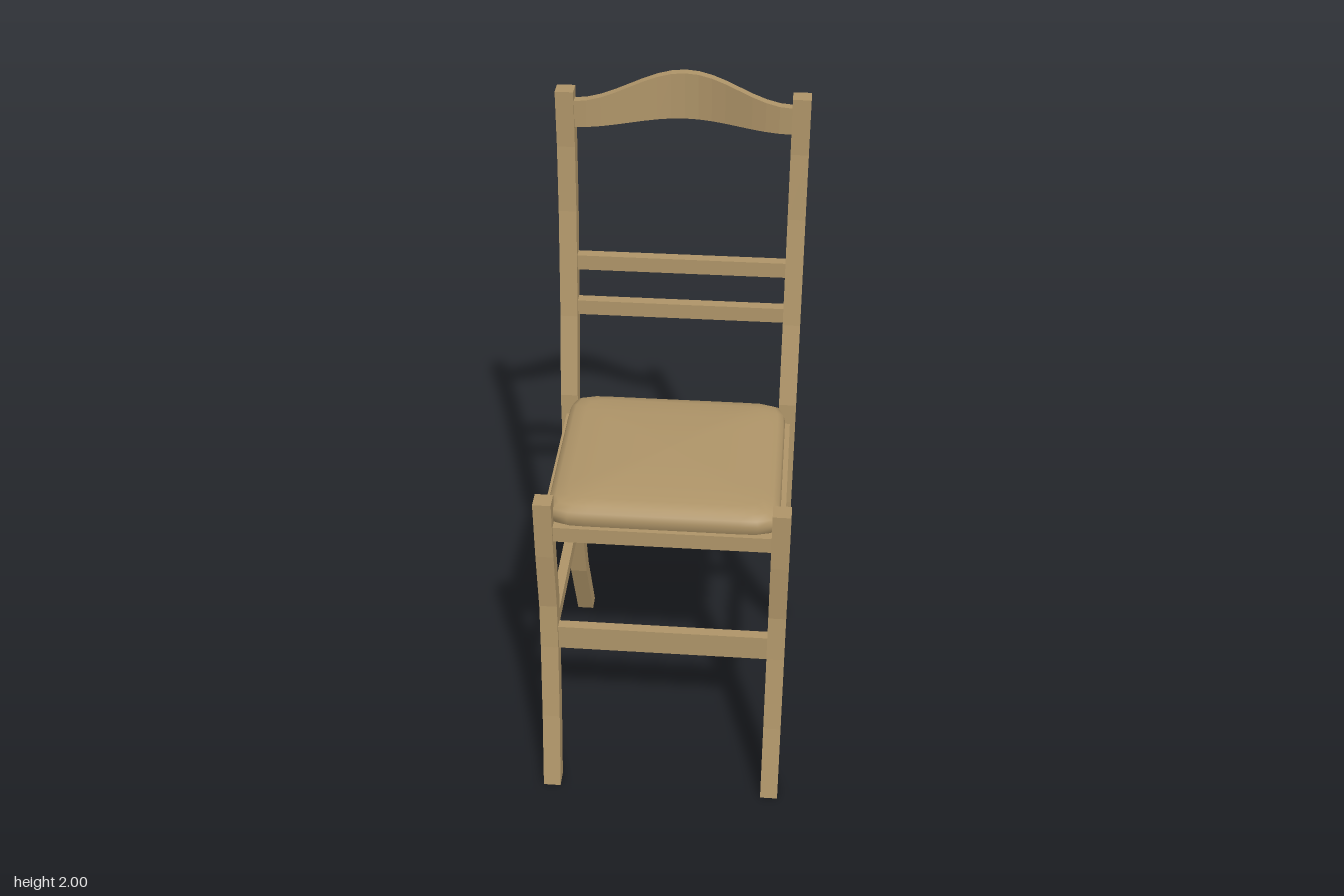
import * as THREE from 'three';

const wood = new THREE.MeshStandardMaterial({ color: 0xae9468 });
wood.name = 'tan wood';

const LEG = 0.053; // leg thickness
const SIDE = 0.34; // leg distance from the middle

function add(group, name, geometry, x = 0, y = 0, z = 0) {
  const mesh = new THREE.Mesh(geometry, wood);
  mesh.name = name;
  mesh.position.set(x, y, z);
  group.add(mesh);
  return mesh;
}

// Bent leg: a [z, y] centre line widened to LEG and extruded sideways
function legGeometry(line) {
  const h = LEG / 2;
  const outline = [
    ...line.map(([z, y]) => new THREE.Vector2(z + h, y)),
    ...[...line].reverse().map(([z, y]) => new THREE.Vector2(z - h, y)),
  ];
  const g = new THREE.ExtrudeGeometry(new THREE.Shape(outline), { depth: LEG, bevelEnabled: false });
  g.translate(0, 0, -h);
  g.rotateY(-Math.PI / 2);
  return g;
}

// Domed cushion: rounded-square rings stacked by [inset, height]
function cushionGeometry(halfX, halfZ) {
  const rings = [[0.012, 0.945], [0.002, 0.965], [0, 0.985], [0.005, 1.002], [0.02, 1.016],
    [0.05, 1.024], [0.11, 1.031], [0.2, 1.036], [0.2999, 1.038]];
  const n = 64, pos = [], idx = [];
  for (const [inset, y] of rings) {
    for (let i = 0; i < n; i++) {
      const a = (i / n) * Math.PI * 2, c = Math.cos(a), s = Math.sin(a);
      const r = Math.pow(Math.abs(c) ** 14 + Math.abs(s) ** 14, -1 / 14);
      const k = 1 - inset / 0.3;
      pos.push(c * r * halfX * k, y, s * r * halfZ * k);
    }
  }
  for (let j = 0; j < rings.length - 1; j++) {
    for (let i = 0; i < n; i++) {
      const a = j * n + i, b = j * n + (i + 1) % n;
      idx.push(a, a + n, b, b, a + n, b + n);
    }
  }
  const g = new THREE.BufferGeometry();
  g.setAttribute('position', new THREE.Float32BufferAttribute(pos, 3));
  g.setIndex(idx);
  g.computeVertexNormals();
  return g;
}

// Crest rail: a box bowed backwards with a raised middle, faceted
function crestGeometry() {
  const half = 0.318;
  const g = new THREE.BoxGeometry(half * 2, 1, 0.028, 16, 1, 1);
  const p = g.attributes.position;
  for (let i = 0; i < p.count; i++) {
    const x = p.getX(i);
    const bell = 0.5 + 0.5 * Math.cos((Math.PI * x) / half);
    p.setY(i, p.getY(i) > 0 ? 1.94 + 0.06 * bell : 1.86);
    p.setZ(i, p.getZ(i) - 0.388 - 0.085 * bell);
  }
  const flat = g.toNonIndexed();
  flat.computeVertexNormals();
  return flat;
}

export function createModel() {
  const model = new THREE.Group();
  model.name = 'chair';
  const chair = new THREE.Group();
  chair.name = 'chairBody';
  chair.rotation.y = 0.72; // the chair stands turned towards its left
  model.add(chair);

  // Legs; the back pair continues up as the backrest posts
  const frontLeg = legGeometry([[0.422, 0], [0.371, 0.25], [0.332, 0.5], [0.318, 0.65], [0.332, 0.85], [0.335, 1.04]]);
  const backLeg = legGeometry([[-0.425, 0], [-0.304, 0.27], [-0.24, 0.53], [-0.238, 0.66], [-0.258, 1.02],
    [-0.32, 1.27], [-0.375, 1.6], [-0.394, 1.8], [-0.394, 1.97]]);
  for (const side of [-1, 1]) {
    const label = side > 0 ? 'Left' : 'Right';
    add(chair, 'frontLeg' + label, frontLeg, side * SIDE);
    add(chair, 'backLeg' + label, backLeg, side * SIDE);
    add(chair, 'sideStretcher' + label, new THREE.BoxGeometry(0.03, 0.045, 0.56), side * SIDE, 0.522, 0.045);
  }

  // Seat
  add(chair, 'seatFrame', new THREE.BoxGeometry(0.7, 0.05, 0.615), 0, 0.928, 0.0425);
  add(chair, 'cushion', cushionGeometry(0.335, 0.302), 0, 0, 0.042);

  // Stretchers across the front and back
  add(chair, 'frontStretcher', new THREE.BoxGeometry(0.64, 0.083, 0.03), 0, 0.528, 0.328);
  add(chair, 'backStretcher', new THREE.BoxGeometry(0.64, 0.045, 0.03), 0, 0.522, -0.241);

  // Backrest
  add(chair, 'lowerSlat', new THREE.BoxGeometry(0.64, 0.048, 0.032), 0, 1.293, -0.326);
  add(chair, 'upperSlat', new THREE.BoxGeometry(0.64, 0.048, 0.032), 0, 1.436, -0.35);
  add(chair, 'crestRail', crestGeometry());

  return model;
}
